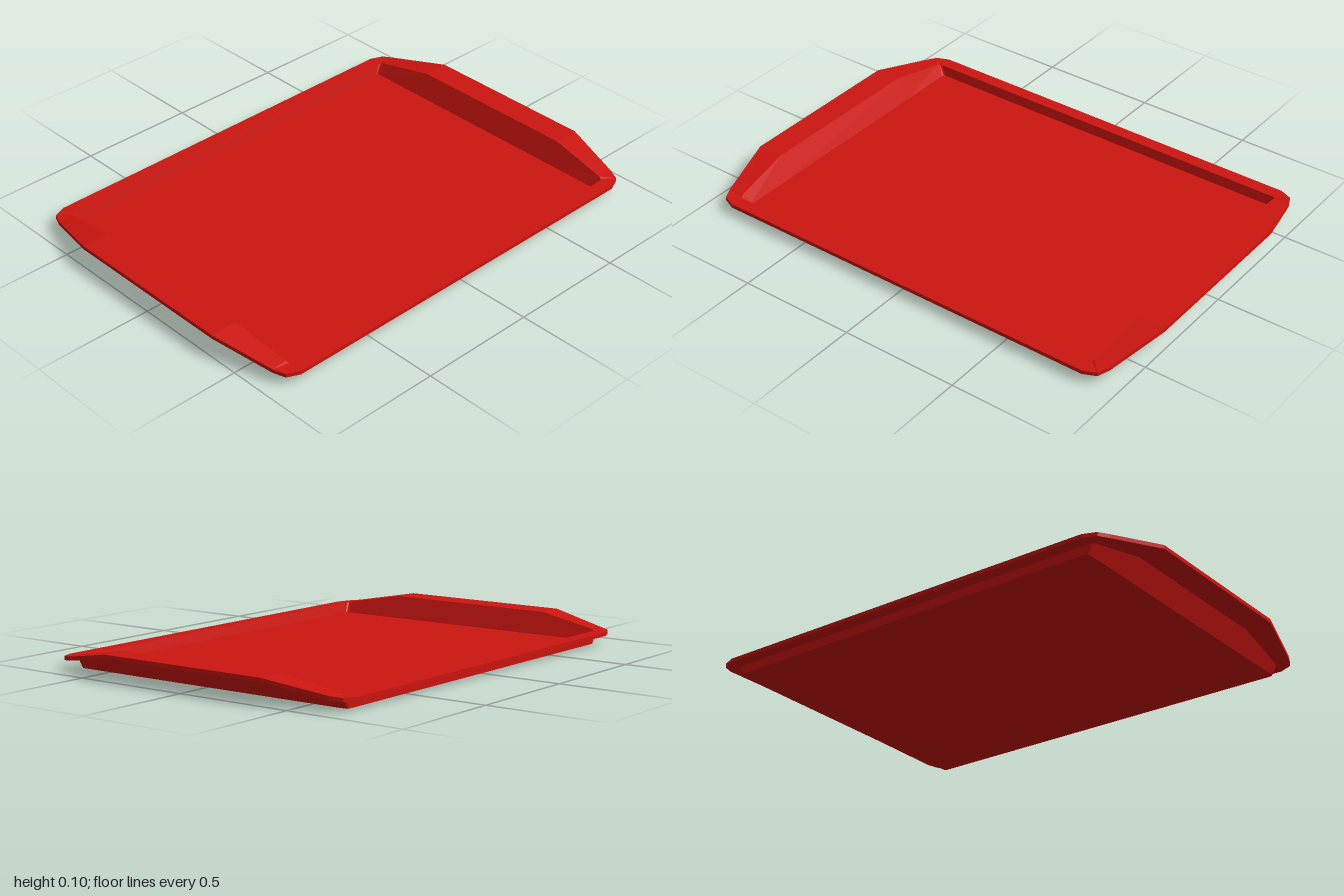
import * as THREE from 'three';

// Mirror four corner points [x, y, z] (side to end) into a full 16-point ring
function ring(quarter) {
  const signs = [[1, 1], [-1, 1], [-1, -1], [1, -1]];
  return signs.flatMap(([sx, sz], k) => {
    const pts = quarter.map(([x, y, z]) => [x * sx, y, z * sz]);
    return k % 2 ? pts.reverse() : pts;
  });
}

// Loft neighbouring rings, then close the first and last with flat caps
function loft(rings) {
  const pos = [];
  const tri = (a, b, c) => pos.push(...a, ...b, ...c);
  const n = rings[0].length;
  for (let r = 0; r < rings.length - 1; r++) {
    const a = rings[r], b = rings[r + 1];
    for (let i = 0; i < n; i++) {
      const j = (i + 1) % n;
      tri(a[i], b[j], b[i]);
      tri(a[i], a[j], b[j]);
    }
  }
  const top = rings[0], bottom = rings[rings.length - 1];
  for (let i = 0; i < n; i++) {
    const j = (i + 1) % n;
    tri([0, top[0][1], 0], top[j], top[i]);
    tri([0, bottom[0][1], 0], bottom[i], bottom[j]);
  }
  const geo = new THREE.BufferGeometry();
  geo.setAttribute('position', new THREE.Float32BufferAttribute(pos, 3));
  geo.computeVertexNormals();
  return geo;
}

export function createModel() {
  const group = new THREE.Group();
  group.name = 'bakingTray';
  const red = new THREE.MeshStandardMaterial({ color: 0xcc1510, flatShading: true });

  // Inside of the tray: floor edge, top of the wall, outer lip
  const floorTop = [[0.637, 0.012, 0.828], [0.634, 0.012, 0.835], [0.625, 0.012, 0.838], [0.38, 0.012, 0.838]];
  const wallTop = [[0.648, 0.052, 0.853], [0.643, 0.052, 0.862], [0.63, 0.058, 0.866], [0.38, 0.103, 0.886]];
  const lipTop = [[0.705, 0.052, 0.86], [0.682, 0.053, 0.913], [0.635, 0.058, 0.934], [0.38, 0.103, 1]];
  // Underside of the lip and wall
  const lipBottom = lipTop.map(([x, y, z]) => [x, y - 0.016, z]);
  const wallBottom = [[0.653, 0.036, 0.856], [0.65, 0.037, 0.866], [0.635, 0.042, 0.87], [0.38, 0.087, 0.892]];
  const floorBottom = [[0.652, 0, 0.838], [0.648, 0, 0.846], [0.635, 0, 0.849], [0.38, 0, 0.849]];

  const tray = new THREE.Mesh(
    loft([floorTop, wallTop, lipTop, lipBottom, wallBottom, floorBottom].map(ring)), red);
  tray.name = 'tray';
  group.add(tray);
  return group;
}
